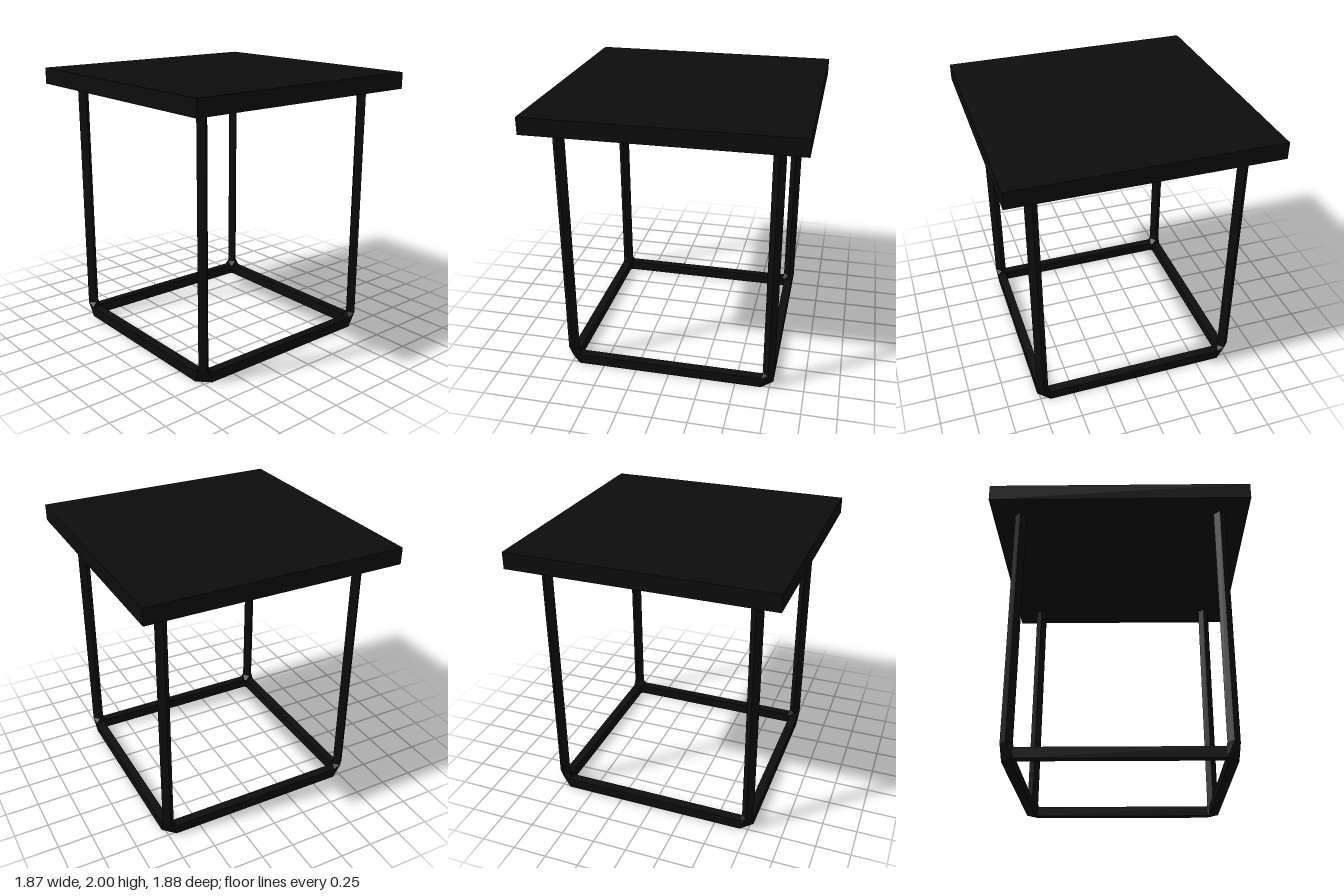
import * as THREE from 'three';
import { ConvexGeometry } from 'three/addons/geometries/ConvexGeometry.js';

const LEG_X = 0.73, LEG_Z = 0.74;    // leg axes
const LEG_R = 0.043;                 // half diagonal of the square leg
const RAIL_W = 0.066, RAIL_H = 0.075;
const JOINT_Y = 0.11, JOINT_IN = 0.05; // reach of each corner joint

export function createModel() {
  const model = new THREE.Group();
  model.name = 'sideTable';
  const black = new THREE.MeshStandardMaterial({ color: 0x0d0d0d, flatShading: true });

  const add = (name, geometry, x = 0, y = 0, z = 0) => {
    const mesh = new THREE.Mesh(geometry, black);
    mesh.name = name;
    mesh.position.set(x, y, z);
    model.add(mesh);
  };

  // Square slab top
  add('tableTop', new THREE.BoxGeometry(1.874, 0.12, 1.876), 0, 1.94, 0);

  // Square legs turned 45 degrees, with edges towards x and z
  const legH = 1.88 - JOINT_Y;
  const legGeometry = new THREE.CylinderGeometry(LEG_R, LEG_R, legH, 4);

  for (const sx of [1, -1]) {
    for (const sz of [1, -1]) {
      const label = (sz > 0 ? 'front' : 'back') + (sx > 0 ? 'Left' : 'Right');
      add(label + 'Leg', legGeometry, sx * LEG_X, JOINT_Y + legH / 2, sz * LEG_Z);

      // Chamfered corner joint: hull of the leg's foot and the two rail ends
      const points = [];
      for (const s of [1, -1]) {
        points.push(new THREE.Vector3(s * LEG_R, JOINT_Y, 0), new THREE.Vector3(0, JOINT_Y, s * LEG_R));
        for (const y of [0, RAIL_H]) {
          points.push(new THREE.Vector3(-sx * JOINT_IN, y, s * RAIL_W / 2));
          points.push(new THREE.Vector3(s * RAIL_W / 2, y, -sz * JOINT_IN));
        }
      }
      add(label + 'Joint', new ConvexGeometry(points), sx * LEG_X, 0, sz * LEG_Z);
    }
  }

  // Floor rails between the joints
  const railX = new THREE.BoxGeometry(2 * (LEG_X - JOINT_IN), RAIL_H, RAIL_W);
  const railZ = new THREE.BoxGeometry(RAIL_W, RAIL_H, 2 * (LEG_Z - JOINT_IN));
  for (const s of [1, -1]) {
    add(s > 0 ? 'frontRail' : 'backRail', railX, 0, RAIL_H / 2, s * LEG_Z);
    add(s > 0 ? 'leftRail' : 'rightRail', railZ, s * LEG_X, RAIL_H / 2, 0);
  }
  return model;
}
